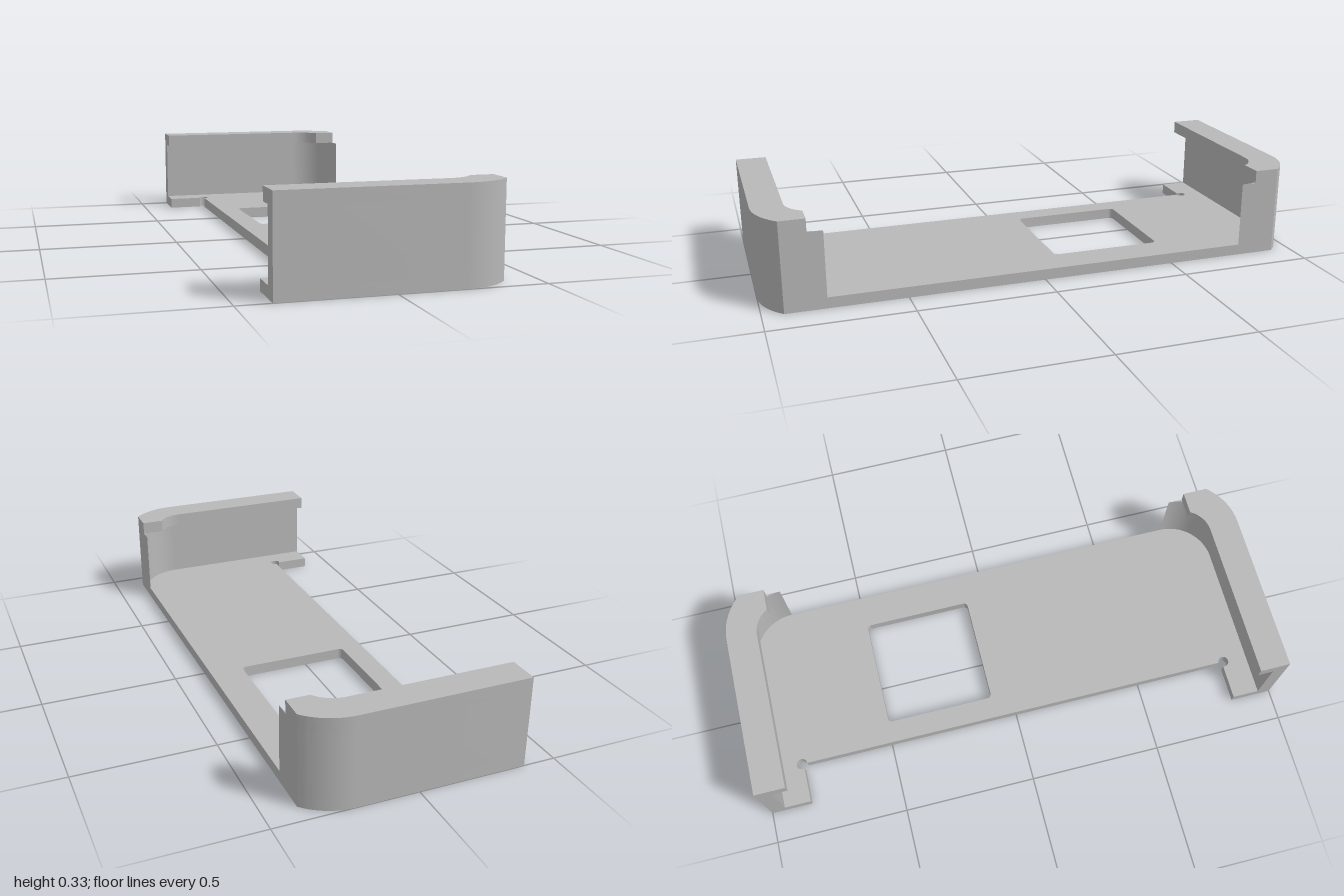
import * as THREE from 'three';
import { toCreasedNormals } from 'three/addons/utils/BufferGeometryUtils.js';

const HALF = 0.385;              // half width in x
const CX = 0.22, CZ = 0.78;      // shared centre of the rounded corners
const R_OUT = 0.22, R_IN = HALF - CX, R_LIP = 0.107;

const V = (x, z) => new THREE.Vector2(x, z);

// Points along an arc in the x/z plane, angles in radians
function arc(cx, cz, r, a0, a1, n = 20) {
  return Array.from({ length: n + 1 }, (_, i) => {
    const a = a0 + (a1 - a0) * i / n;
    return V(cx + r * Math.cos(a), cz + r * Math.sin(a));
  });
}

const mirror = (pts) => pts.map((p) => V(p.x, -p.y));

// Extrude an x/z outline between two heights
function slab(name, shape, y0, y1, material) {
  let geo = new THREE.ExtrudeGeometry(shape, { depth: y1 - y0, bevelEnabled: false });
  geo.rotateX(Math.PI / 2);
  geo.translate(0, y1, 0);
  geo = toCreasedNormals(geo, 0.4);
  const mesh = new THREE.Mesh(geo, material);
  mesh.name = name;
  return mesh;
}

export function createModel() {
  const group = new THREE.Group();
  group.name = 'bracket';
  const grey = new THREE.MeshStandardMaterial({ color: 0xb8b8b8 });
  grey.name = 'grey';

  // Outer edge shared by base, walls and lips
  const outer = [V(-HALF, 1), ...arc(CX, CZ, R_OUT, Math.PI / 2, Math.acos(R_IN / R_OUT))];

  // Base plate: end tabs with round relief cuts beside them
  const half = [
    ...arc(-0.235, 0.852, 0.02, -Math.PI / 2, Math.PI * 1.11, 24),
    V(-HALF, 0.845),
    ...outer,
  ];
  const base = new THREE.Shape([...half, ...mirror(half).reverse()]);

  // Window with small rounded corners
  const [x0, x1, z0, z1, r] = [-0.153, 0.262, -0.493, -0.08, 0.016];
  const q = Math.PI / 2;
  base.holes.push(new THREE.Path([
    ...arc(x1 - r, z1 - r, r, 0, q, 6),
    ...arc(x0 + r, z1 - r, r, q, 2 * q, 6),
    ...arc(x0 + r, z0 + r, r, 2 * q, 3 * q, 6),
    ...arc(x1 - r, z0 + r, r, 3 * q, 4 * q, 6),
  ]));
  group.add(slab('basePlate', base, 0, 0.04, grey));

  // End walls and the lips that overhang them
  const wall = [...outer, ...arc(CX, CZ, R_IN, 0, q), V(-HALF, CZ + R_IN)];
  const lip = [
    ...outer,
    V(HALF, 0.834),
    ...arc(CX - 0.01, CZ, R_LIP, Math.asin(0.054 / R_LIP), q, 12),
    V(-HALF, CZ + R_LIP),
  ];
  for (const [side, place] of [['front', (p) => p], ['back', mirror]]) {
    group.add(slab(side + 'Wall', new THREE.Shape(place(wall)), 0.04, 0.28, grey));
    group.add(slab(side + 'Lip', new THREE.Shape(place(lip)), 0.28, 0.327, grey));
  }
  return group;
}
